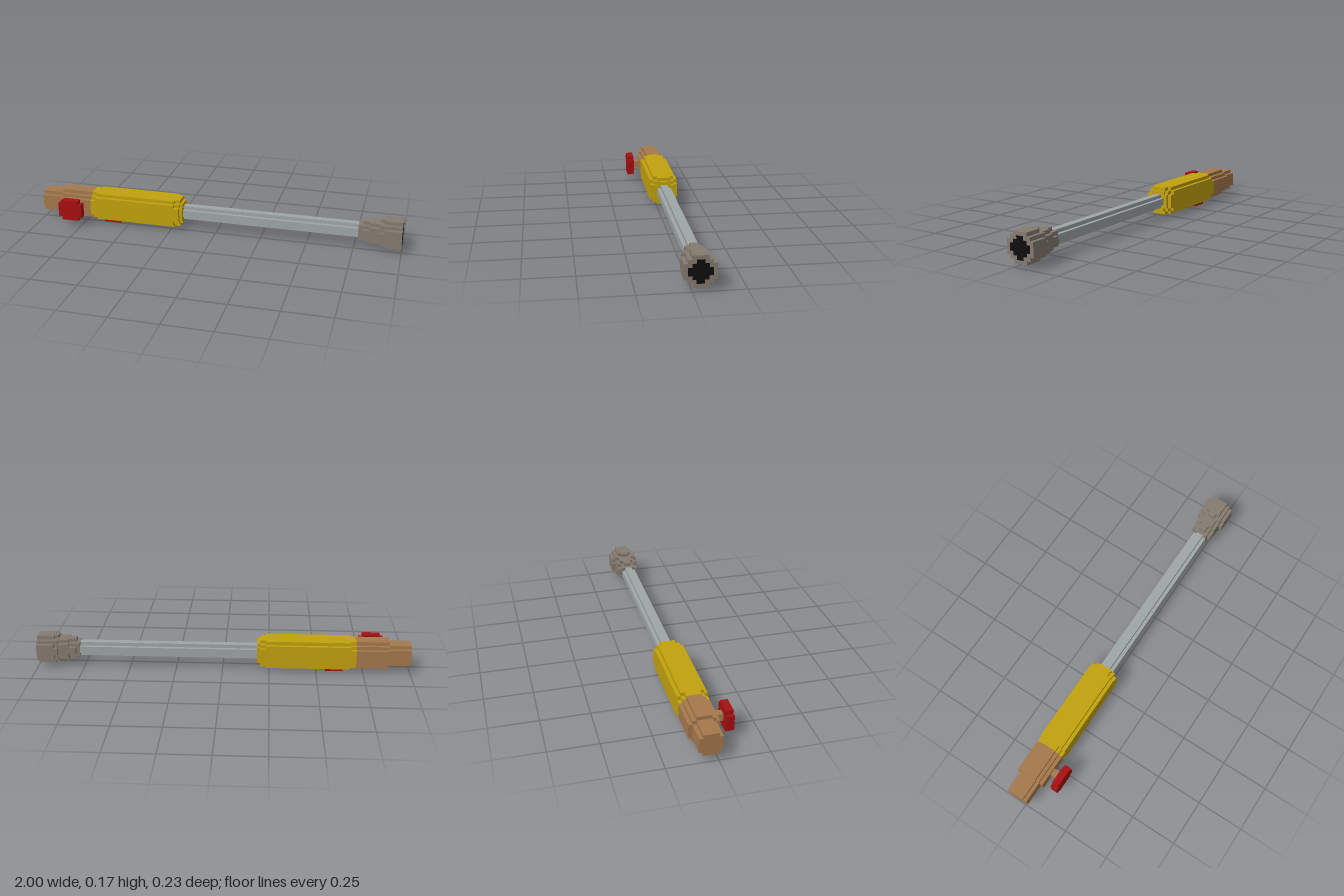
import * as THREE from 'three';

const U = 0.019;            // size of one step in the blocky cross-sections
const CY = 0.095, CZ = -0.0375; // long axis of the tool

const mat = (name, color) => {
  const m = new THREE.MeshStandardMaterial({ color });
  m.name = name;
  return m;
};

// Stepped outline from row widths (in steps), listed top to bottom
function steppedShape(rows) {
  const pts = [], h = rows.length / 2;
  rows.forEach((w, i) => pts.push([w / 2, h - i], [w / 2, h - i - 1]));
  const left = pts.map(([x, y]) => [-x, y]).reverse();
  const all = pts.concat(left)
    .filter((p, i, a) => {
      const q = a[(i + 1) % a.length], o = a[(i + a.length - 1) % a.length];
      return !((o[0] === p[0] && q[0] === p[0]) || (p[0] === q[0] && p[1] === q[1]));
    })
    .map(([x, y]) => new THREE.Vector2(x * U, y * U));
  return new THREE.Shape(all);
}

const extrude = (rows, depth) =>
  new THREE.ExtrudeGeometry(steppedShape(rows), { depth, bevelEnabled: false });

// Cross-sections
const ROD = [2, 4, 4, 2];
const SQUARE4 = [4, 4, 4, 4];
const ROUND6 = [2, 4, 6, 6, 4, 2];
const BLOCK6 = [4, 6, 6, 6, 6, 4];
const ROUND8 = [4, 6, 8, 8, 8, 8, 6, 4];
const BLOCK8 = [6, 8, 8, 8, 8, 8, 8, 6];

export function createModel() {
  const yellow = mat('yellow casing', 0xc2a20e);
  const brown = mat('brown grip', 0xa5794c);
  const red = mat('red controls', 0xa80f10);
  const grey = mat('warm grey metal', 0x857c70);
  const silver = mat('silver rod', 0x9fa6a6);
  const black = mat('black opening', 0x0e0e0e);

  const model = new THREE.Group();
  const add = (name, geometry, material) => {
    const mesh = new THREE.Mesh(geometry, material);
    mesh.name = name;
    model.add(mesh);
    return mesh;
  };

  // Parts stacked along the long axis: name, cross-section, start x, end x, colour
  const segments = [
    ['rearPlug', BLOCK6, -1, -0.885, brown],
    ['rearGrip', ROUND8, -0.885, -0.71, brown],
    ['casingRear', ROUND8, -0.71, -0.68, yellow],
    ['casing', BLOCK8, -0.68, -0.23, yellow],
    ['casingFront', ROUND8, -0.23, -0.2, yellow],
    ['casingCollar', BLOCK6, -0.2, -0.185, yellow],
    ['rod', ROD, -0.185, 0.77, silver],
    ['nozzleNeck', SQUARE4, 0.77, 0.79, grey],
    ['nozzleTaper', ROUND6, 0.79, 0.83, grey],
    ['nozzleBody', BLOCK6, 0.83, 0.885, grey],
    ['nozzleShoulder', [2, 6, 6, 8, 8, 6, 6, 2], 0.885, 0.905, grey],
    ['nozzleHead', ROUND8, 0.905, 0.998, grey],
    ['nozzleOpening', ROUND6, 0.997, 1, black],
  ];
  for (const [name, rows, x0, x1, material] of segments) {
    const g = extrude(rows, x1 - x0);
    g.rotateY(Math.PI / 2);
    g.translate(x0, CY, CZ);
    add(name, g, material);
  }

  // Side knob on its stem
  add('knobStem', new THREE.BoxGeometry(2 * U, 2 * U, 0.042), brown)
    .position.set(-0.797, CY, 0.057);
  add('knob', extrude([5, 7, 7, 7, 7, 5], 2 * U), red)
    .position.set(-0.802, CY, 0.076);

  // Button under the casing
  add('button', new THREE.BoxGeometry(0.095, 0.02, 4 * U), red)
    .position.set(-0.597, 0.01, CZ);

  return model;
}
